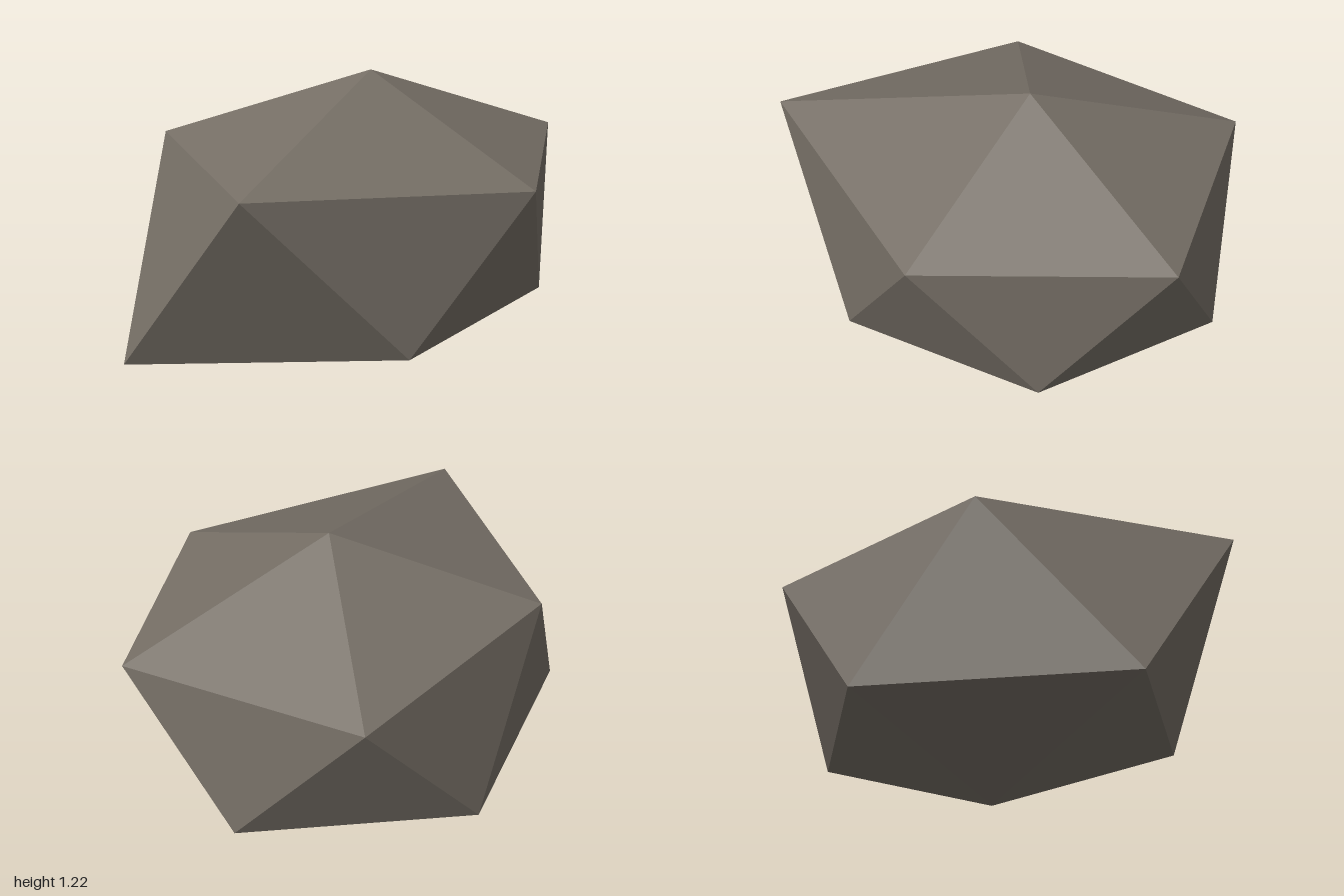
import * as THREE from 'three';

// A faceted boulder: an irregular twenty-sided stone made of two caps and a zigzag band.
export function createModel() {
  const group = new THREE.Group();
  group.name = 'boulder';
  const stone = new THREE.MeshStandardMaterial({ color: 0x766f66 });
  stone.name = 'warm grey stone';

  const top = [0.11, 1.22, 0.03];
  const bottom = [0.11, 0, 0.03];
  // Both rings run the same way round; lower[i] sits between upper[i] and upper[i + 1].
  const upper = [
    [-0.78, 0.96, 0.64], [0.38, 0.875, 0.81], [1, 0.885, 0.03],
    [0.4, 0.905, -0.81], [-0.59, 0.945, -0.44],
  ];
  const lower = [
    [-0.14, 0.275, 0.76], [0.69, 0.31, 0.43], [0.76, 0.28, -0.41],
    [-0.15, 0.255, -0.74], [-1, 0.165, 0.03],
  ];

  // Separate corners for each facet keep the normals flat.
  const positions = [];
  const facet = (a, b, c) => positions.push(...a, ...b, ...c);
  for (let i = 0; i < 5; i++) {
    const j = (i + 1) % 5;
    facet(top, upper[i], upper[j]); // upper cap
    facet(upper[i], lower[i], upper[j]); // band, pointing down
    facet(lower[i], lower[j], upper[j]); // band, pointing up
    facet(bottom, lower[j], lower[i]); // lower cap
  }

  const geometry = new THREE.BufferGeometry();
  geometry.setAttribute('position', new THREE.Float32BufferAttribute(positions, 3));
  geometry.computeVertexNormals();

  const rock = new THREE.Mesh(geometry, stone);
  rock.name = 'rock';
  group.add(rock);
  return group;
}
